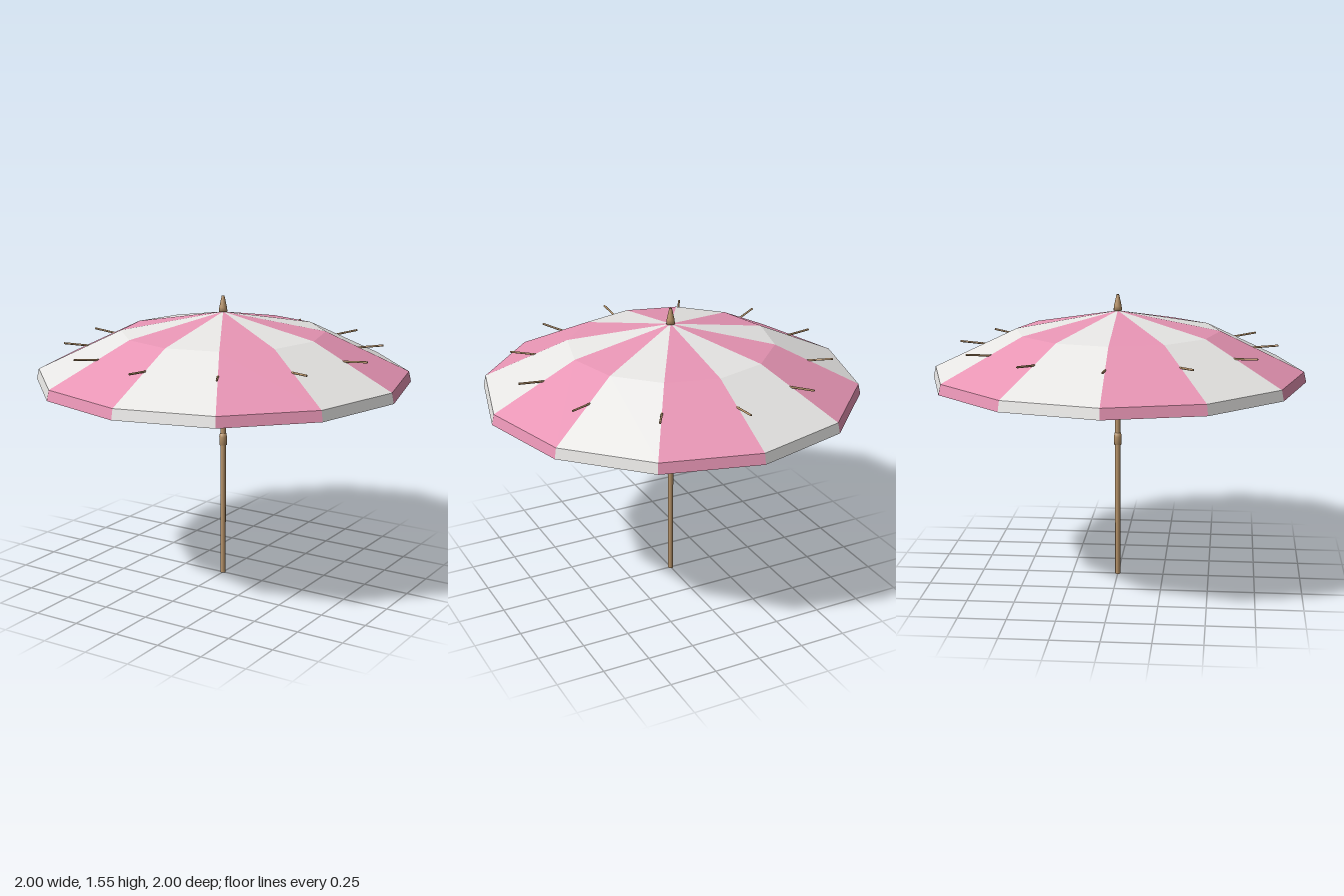
import * as THREE from 'three';
import { mergeVertices } from 'three/addons/utils/BufferGeometryUtils.js';

const SIDES = 12;
// canopy rings from the crown down to the hem: [radius, height]
const RINGS = [[0, 1.465], [0.543, 1.362], [0.988, 1.15], [1.0, 1.095]];

const point = (angle, r, y) => new THREE.Vector3(Math.sin(angle) * r, y, Math.cos(angle) * r);

// weld a solid so its normals run smoothly over the caps
function weld(geometry) {
  geometry.deleteAttribute('uv');
  geometry.deleteAttribute('normal');
  const welded = mergeVertices(geometry, 1e-4);
  welded.computeVertexNormals();
  return welded;
}

// one faceted strip of a canopy wedge, between rings first and last
function wedge(index, first, last) {
  const a = (index / SIDES) * Math.PI * 2;
  const b = ((index + 1) / SIDES) * Math.PI * 2;
  const corners = [];
  for (let i = first; i < last; i++) {
    const [r0, y0] = RINGS[i];
    const [r1, y1] = RINGS[i + 1];
    corners.push(point(a, r0, y0), point(a, r1, y1), point(b, r1, y1));
    if (r0 > 0) corners.push(point(a, r0, y0), point(b, r1, y1), point(b, r0, y0));
  }
  const geometry = new THREE.BufferGeometry().setFromPoints(corners);
  geometry.computeVertexNormals();
  return geometry;
}

export function createModel() {
  const model = new THREE.Group();
  model.name = 'parasol';

  const white = new THREE.MeshStandardMaterial({ name: 'white fabric', color: 0xefeeec, side: THREE.DoubleSide, flatShading: true });
  const pink = new THREE.MeshStandardMaterial({ name: 'pink fabric', color: 0xec98b8, side: THREE.DoubleSide, flatShading: true });
  const wood = new THREE.MeshStandardMaterial({ name: 'wood', color: 0xb8946a });

  const add = (name, geometry, material, parent = model) => {
    const mesh = new THREE.Mesh(geometry, material);
    mesh.name = name;
    parent.add(mesh);
    return mesh;
  };

  // pole
  add('pole', weld(new THREE.CylinderGeometry(0.0145, 0.0145, 1.46, 12)), wood).position.y = 0.73;

  // turned wooden parts: collar on the pole, hub of the ribs, finial
  const turned = (name, profile) =>
    add(name, weld(new THREE.LatheGeometry(profile.map(([r, y]) => new THREE.Vector2(r, y)), 12)), wood);
  turned('poleCollar', [[0, 0.735], [0.02, 0.735], [0.021, 0.78], [0.017, 0.8], [0, 0.8]]);
  turned('ribHub', [[0, 1.2], [0.022, 1.2], [0.022, 1.24], [0, 1.24]]);
  turned('finial', [[0, 1.465], [0.023, 1.465], [0.02, 1.49], [0.007, 1.55], [0, 1.55]]);

  // canopy: alternating wedges with a hanging valance
  const canopy = new THREE.Group();
  canopy.name = 'canopy';
  model.add(canopy);
  for (let i = 0; i < SIDES; i++) {
    const fabric = i % 2 ? pink : white;
    add('canopyPanel', wedge(i, 0, 2), fabric, canopy);
    add('valancePanel', wedge(i, 2, 3), fabric, canopy);
  }

  // ribs run from the hub and poke through the seams of the canopy
  const ribs = new THREE.Group();
  ribs.name = 'ribs';
  model.add(ribs);
  for (let i = 0; i < SIDES; i++) {
    const angle = (i / SIDES) * Math.PI * 2;
    const path = new THREE.LineCurve3(point(angle, 0.01, 1.215), point(angle, 0.848, 1.289));
    const rib = add('rib', weld(new THREE.CylinderGeometry(0.0055, 0.0055, path.getLength(), 6)), wood, ribs);
    rib.position.copy(path.getPoint(0.5));
    rib.quaternion.setFromUnitVectors(new THREE.Vector3(0, 1, 0), path.getTangent(0));
  }

  return model;
}
